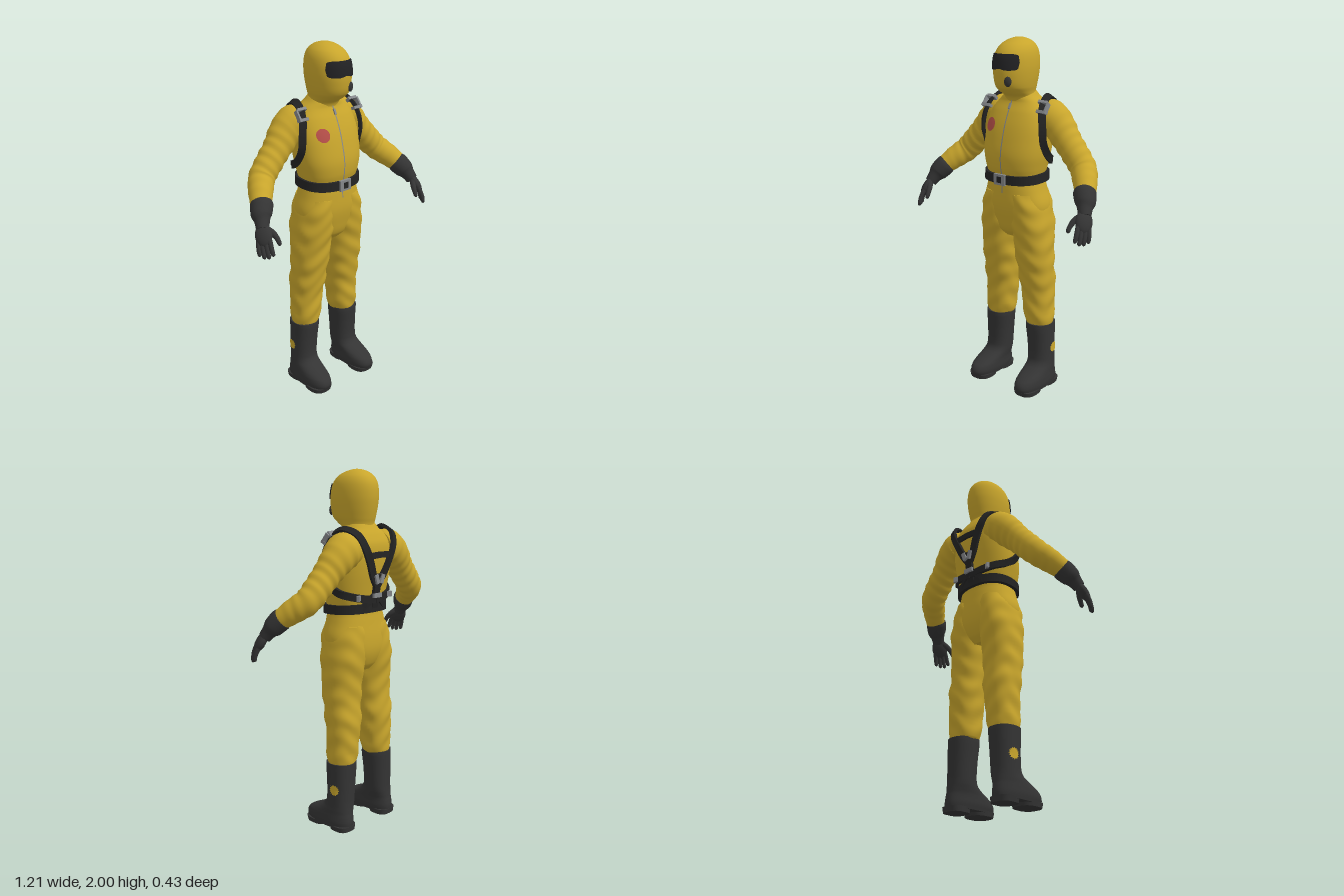
import * as THREE from 'three';
import { toCreasedNormals } from 'three/addons/utils/BufferGeometryUtils.js';

const V = (x, y, z) => new THREE.Vector3(x, y, z);
const mat = (name, color, side = THREE.FrontSide) => {
  const m = new THREE.MeshStandardMaterial({ color, side });
  m.name = name;
  return m;
};

// Skin a list of rings (counterclockwise about the direction of travel), with end caps
function skin(rings) {
  const n = rings[0].length, pos = [], idx = [];
  const push = p => pos.push(p.x, p.y, p.z) / 3 - 1;
  rings.forEach(r => r.forEach(push));
  for (let i = 0; i < rings.length - 1; i++) for (let j = 0; j < n; j++) {
    const a = i * n + j, b = i * n + (j + 1) % n;
    idx.push(a, b, a + n, b, b + n, a + n);
  }
  [rings[0], rings[rings.length - 1]].forEach((r, end) => {
    const c = push(r.reduce((s, p) => s.add(p), V(0, 0, 0)).divideScalar(n));
    const s = r.map(push);
    s.forEach((v, j) => end ? idx.push(c, v, s[(j + 1) % n]) : idx.push(c, s[(j + 1) % n], v));
  });
  const g = new THREE.BufferGeometry();
  g.setAttribute('position', new THREE.Float32BufferAttribute(pos, 3));
  g.setIndex(idx);
  g.computeVertexNormals();
  return g;
}

// Upright form from rows [y, xMin, xMax, zBack, zFront], rounded-oval in section
function form(rows, n = 2.2, folds = 0) {
  const at = y => {
    let i = 0;
    while (i < rows.length - 2 && y > rows[i + 1][0]) i++;
    const a = rows[i], b = rows[i + 1], p = rows[i - 1] || a, q = rows[i + 2] || b, h = b[0] - a[0];
    const t = THREE.MathUtils.clamp((y - a[0]) / h, 0, 1), t2 = t * t, t3 = t2 * t;
    const [x0, x1, z0, z1] = [1, 2, 3, 4].map(k => {
      const ma = (b[k] - p[k]) / (b[0] - p[0]) * h, mb = (q[k] - a[k]) / (q[0] - a[0]) * h;
      return (2 * t3 - 3 * t2 + 1) * a[k] + (t3 - 2 * t2 + t) * ma + (3 * t2 - 2 * t3) * b[k] + (t3 - t2) * mb;
    });
    return { cx: (x0 + x1) / 2, rx: (x1 - x0) / 2, cz: (z0 + z1) / 2, rz: (z1 - z0) / 2 };
  };
  const bend = v => Math.sign(v) * Math.abs(v) ** (2 / n);
  const point = (y, t, off = 0) => {
    const r = at(y), f = folds * Math.sin(y * 48 + 2 * Math.sin(t * 2)) * Math.sin(t * 2 + y * 9);
    return V(r.cx + (r.rx + off + f) * bend(Math.sin(t)), y, r.cz + (r.rz + off + f) * bend(Math.cos(t)));
  };
  const rest = (d, r) => Math.max(0, 1 - Math.abs(d / r) ** n) ** (1 / n);
  return {
    point,
    frontZ: (x, y) => { const r = at(y); return r.cz + r.rz * rest(x - r.cx, r.rx); },
    sideX: (y, z) => { const r = at(y); return r.cx + r.rx * rest(z - r.cz, r.rz); },
    snap(x, y, z, off) {
      const r = at(y), dx = x - r.cx, dz = z - r.cz, d = Math.hypot(dx, dz);
      const f = 1 / (Math.abs(dx / r.rx) ** n + Math.abs(dz / r.rz) ** n) ** (1 / n) + off / d;
      return V(r.cx + dx * f, y, r.cz + dz * f);
    },
    geometry(seg = 48, sub = 6) {
      const ys = rows.slice(1).flatMap((r, i) => Array.from({ length: sub }, (_, k) => rows[i][0] + (r[0] - rows[i][0]) * k / sub));
      ys.push(rows[rows.length - 1][0]);
      return skin(ys.map(y => Array.from({ length: seg }, (_, j) => point(y, j / seg * Math.PI * 2))));
    },
  };
}

// Tapering round limb through points [x, y, z, radius]
function limb(pts, steps = 40, seg = 20, folds = 0) {
  const curve = new THREE.CatmullRomCurve3(pts.map(p => V(p[0], p[1], p[2])));
  const radii = new THREE.CatmullRomCurve3(pts.map((p, i) => V(p[3], i, 0)), false, 'catmullrom');
  const frames = curve.computeFrenetFrames(steps);
  return skin(Array.from({ length: steps + 1 }, (_, i) => {
    const t = curve.getUtoTmapping(i / steps), c = curve.getPoint(t), r = radii.getPoint(t).x;
    return Array.from({ length: seg }, (_, j) => {
      const a = j / seg * Math.PI * 2, k = r * (1 + folds * Math.sin(i * 1.1 + Math.sin(a) * 2) * Math.sin(Math.PI * i / steps));
      return c.clone().addScaledVector(frames.normals[i], Math.cos(a) * k).addScaledVector(frames.binormals[i], Math.sin(a) * k);
    });
  }));
}

// Flat webbing strap lying along points, facing away from the body
function strap(pts, width, thick, steps = 60) {
  const curve = new THREE.CatmullRomCurve3(pts);
  return toCreasedNormals(skin(Array.from({ length: steps + 1 }, (_, i) => {
    const p = curve.getPointAt(i / steps), T = curve.getTangentAt(i / steps);
    const N = V(p.x * 0.4, p.y - Math.min(p.y, 1.57), p.z + 0.1);
    N.addScaledVector(T, -N.dot(T)).normalize();
    const B = T.clone().cross(N);
    return [[1, 1], [-1, 1], [-1, -1], [1, -1]].map(([a, b]) =>
      p.clone().addScaledVector(N, a * thick / 2).addScaledVector(B, b * width / 2));
  })), 0.6);
}

function mirrored(g) {
  const m = g.clone();
  const idx = g.index ? Array.from(g.index.array) : [...Array(g.attributes.position.count).keys()];
  m.applyMatrix4(new THREE.Matrix4().makeScale(-1, 1, 1));
  m.setIndex(idx.reverse());
  return m;
}

// Drape a flat geometry with a rule for each vertex
function drape(g, rule) {
  const p = g.attributes.position;
  for (let i = 0; i < p.count; i++) p.setXYZ(i, ...rule(p.getX(i), p.getY(i), i).toArray());
  g.computeVertexNormals();
  return g;
}

export function createModel() {
  const model = new THREE.Group();
  const yellow = mat('suitYellow', 0xc9a62c), rubber = mat('blackRubber', 0x343434);
  const webbing = mat('darkWebbing', 0x242424), metal = mat('greyMetal', 0x85888b);
  const red = mat('patchRed', 0xb8504a, THREE.DoubleSide), lens = mat('visorBlack', 0x222224, THREE.DoubleSide);
  const add = (name, g, m) => {
    const mesh = new THREE.Mesh(g, m);
    mesh.name = name;
    model.add(mesh);
  };
  const pair = (name, g, m) => { add(name + 'Left', g, m); add(name + 'Right', mirrored(g), m); };
  const box = (w, h, d, x, y, z, rx = 0, ry = 0, rz = 0) =>
    new THREE.BoxGeometry(w, h, d).applyMatrix4(new THREE.Matrix4().makeRotationFromEuler(new THREE.Euler(rx, ry, rz)).setPosition(x, y, z));
  const even = rows => rows.map(([y, rx, z0, z1]) => [y, -rx, rx, z0, z1]);

  // Suit body
  const torso = form(even([
    [0.91, 0.07, -0.13, 0.02], [0.95, 0.13, -0.16, 0.055], [1.02, 0.185, -0.182, 0.075], [1.1, 0.2, -0.183, 0.088],
    [1.19, 0.175, -0.172, 0.086], [1.25, 0.162, -0.166, 0.083], [1.31, 0.175, -0.178, 0.097], [1.38, 0.19, -0.19, 0.1],
    [1.46, 0.196, -0.203, 0.085], [1.54, 0.194, -0.21, 0.062], [1.61, 0.175, -0.207, 0.032], [1.66, 0.135, -0.185, 0.005],
    [1.69, 0.1, -0.165, 0], [1.715, 0.08, -0.15, -0.01]]), 2.4);
  add('suitTorso', torso.geometry(64), yellow);

  // Hood
  const hood = form(even([
    [1.65, 0.1, -0.165, 0], [1.69, 0.086, -0.155, 0.015], [1.715, 0.088, -0.155, 0.055], [1.745, 0.097, -0.163, 0.09],
    [1.8, 0.106, -0.175, 0.104], [1.86, 0.109, -0.182, 0.104], [1.92, 0.102, -0.177, 0.09], [1.96, 0.084, -0.157, 0.058],
    [1.985, 0.055, -0.123, 0.012], [1.997, 0.025, -0.085, -0.03], [2, 0.004, -0.06, -0.052]]), 2.1);
  add('hood', hood.geometry(48), yellow);

  // Visor, notched over the nose, and breathing valve
  add('visor', drape(new THREE.PlaneGeometry(2, 2, 32, 10), (u, v) => {
    const h = 0.042 * Math.max(0, 1 - Math.abs(u) ** 7) ** 0.25;
    const notch = v < 0 ? 0.008 * Math.exp(-u * u * 30) * -v : 0;
    return hood.point(1.88 + v * h + notch, u * 0.93, 0.006);
  }), lens);
  const valve = new THREE.SphereGeometry(1, 24, 14);
  valve.scale(0.02, 0.027, 0.012).rotateY(0.4).translate(0.045, 1.78, hood.frontZ(0.045, 1.78) + 0.002);
  add('breathingValve', valve, rubber);

  // Sleeves
  pair('sleeve', limb([[0.11, 1.58, -0.12, 0.085], [0.165, 1.578, -0.12, 0.1], [0.22, 1.54, -0.122, 0.091],
    [0.29, 1.465, -0.112, 0.077], [0.35, 1.4, -0.105, 0.074], [0.41, 1.335, -0.09, 0.071],
    [0.46, 1.285, -0.035, 0.065], [0.508, 1.23, 0.028, 0.052]], 60, 28, 0.035), yellow);

  // Trouser legs
  const leg = form([
    [0.375, 0.08, 0.214, -0.145, -0.01], [0.4, 0.062, 0.223, -0.157, 0.004], [0.46, 0.054, 0.222, -0.158, 0.01],
    [0.6, 0.035, 0.225, -0.168, 0.018], [0.7, 0.025, 0.226, -0.163, 0.035], [0.8, 0.015, 0.225, -0.158, 0.05],
    [0.95, 0.002, 0.22, -0.176, 0.07], [1.06, -0.005, 0.205, -0.184, 0.085], [1.17, 0, 0.172, -0.168, 0.08]], 2.3, 0.005);
  pair('trouserLeg', leg.geometry(40, 9), yellow);

  // Boots with separate sole and heel
  const boot = form([
    [0.02, 0.098, 0.238, -0.166, 0.148], [0.05, 0.092, 0.242, -0.168, 0.157], [0.08, 0.092, 0.24, -0.164, 0.142],
    [0.1, 0.092, 0.237, -0.16, 0.108], [0.12, 0.09, 0.234, -0.158, 0.062], [0.145, 0.087, 0.23, -0.156, 0.018],
    [0.18, 0.084, 0.228, -0.155, 0], [0.28, 0.077, 0.227, -0.157, 0], [0.37, 0.069, 0.227, -0.16, 0.008],
    [0.395, 0.069, 0.227, -0.16, 0.008]], 2.3);
  pair('boot', boot.geometry(40), rubber);
  pair('bootSole', form([[0.003, 0.103, 0.235, -0.005, 0.142], [0.03, 0.099, 0.239, -0.012, 0.149]], 2.6).geometry(32, 1), rubber);
  pair('bootHeel', form([[0, 0.108, 0.228, -0.165, -0.04], [0.03, 0.104, 0.234, -0.168, -0.036]], 3).geometry(32, 1), rubber);
  pair('bootBadge', drape(new THREE.CircleGeometry(1, 32), (u, v, i) => {
    const r = i % 2 ? 0.033 : 0.026, y = 0.245 + v * r, z = -0.095 - u * r;
    return V(boot.sideX(y, z) + 0.004, y, z);
  }), yellow);

  // Gloves: cuff, palm, four fingers, thumb
  const d = V(0.27, -0.84, 0.47).normalize(), s = V(-0.5, 0, 0.85);
  s.addScaledVector(d, -s.dot(d)).normalize();
  const inward = s.clone().cross(d).normalize();
  if (inward.x > 0) inward.negate();
  const center = V(0.557, 1.12, 0.11);
  const hand = (a, b, c) => center.clone().addScaledVector(d, a).addScaledVector(s, b).addScaledVector(inward, c);
  pair('gloveCuff', limb([[0.488, 1.25, 0.008, 0.056], [0.497, 1.238, 0.02, 0.06], [0.523, 1.2, 0.05, 0.054],
    [0.533, 1.178, 0.068, 0.041], [0.547, 1.145, 0.09, 0.034]], 24, 24), rubber);
  const palm = new THREE.SphereGeometry(1, 24, 16).scale(0.062, 0.046, 0.026);
  palm.applyMatrix4(new THREE.Matrix4().makeBasis(d, s, d.clone().cross(s)).setPosition(center));
  pair('glovePalm', palm, rubber);
  const digit = (name, stations) => pair(name, limb(stations.map(([a, b, c, r]) => [...hand(a, b, c).toArray(), r]), 18, 12), rubber);
  [-1.5, -0.5, 0.5, 1.5].forEach((k, i) => {
    const len = [0.058, 0.074, 0.078, 0.068][i], b = k * 0.021;
    digit('gloveFinger' + (i + 1), [[0.02, b * 0.9, 0, 0.013], [0.045, b, 0, 0.013], [0.045 + len * 0.55, b * 1.1, 0.006, 0.012],
      [0.045 + len * 0.92, b * 1.15, 0.016, 0.01], [0.045 + len, b * 1.15, 0.019, 0.003]]);
  });
  digit('gloveThumb', [[-0.03, 0.02, 0.005, 0.016], [-0.005, 0.045, 0.02, 0.016], [0.03, 0.063, 0.032, 0.013],
    [0.052, 0.068, 0.038, 0.011], [0.06, 0.069, 0.04, 0.003]]);

  // Belt and buckle
  const beltPath = Array.from({ length: 33 }, (_, i) => {
    const t = i / 32 * Math.PI * 2;
    return torso.point(1.258 - 0.008 * Math.cos(t), t, 0.01);
  });
  add('belt', strap(beltPath, 0.05, 0.022, 96), webbing);
  add('beltBuckle', box(0.075, 0.06, 0.016, 0, 1.25, 0.106), metal);
  add('beltBuckleSlot', box(0.03, 0.034, 0.006, 0, 1.25, 0.113), webbing);

  // Harness: shoulder straps, side straps, back yoke
  const wrap = (x, y, z) => torso.snap(x, y, z, 0.012);
  pair('shoulderStrap', strap([wrap(0, 1.31, -0.2), wrap(0.08, 1.32, -0.19), wrap(0.15, 1.335, -0.155), wrap(0.19, 1.355, -0.1),
    wrap(0.2, 1.395, -0.045), V(0.207, 1.46, -0.006), V(0.205, 1.54, 0), V(0.19, 1.615, -0.015), V(0.175, 1.665, -0.05),
    V(0.16, 1.69, -0.105), V(0.138, 1.665, -0.185), V(0.112, 1.6, -0.22), V(0.075, 1.52, -0.222),
    wrap(0.035, 1.44, -0.2), wrap(0.005, 1.39, -0.2)], 0.04, 0.018, 120), webbing);
  add('backCrossbar', strap([V(-0.09, 1.55, -0.224), V(0, 1.555, -0.226), V(0.09, 1.55, -0.224)], 0.032, 0.014, 16), webbing);
  add('backCentreStrap', strap([wrap(0, 1.45, -0.2), wrap(0, 1.38, -0.2), wrap(0, 1.26, -0.2)], 0.045, 0.018, 16), webbing);
  pair('backDiagonalStrap', strap([wrap(0, 1.34, -0.2), wrap(0.05, 1.3, -0.19), wrap(0.09, 1.265, -0.18)], 0.034, 0.018, 16), webbing);

  // Harness hardware
  pair('strapBuckleUpper', box(0.058, 0.016, 0.03, 0.178, 1.665, -0.044, -0.85), metal);
  pair('strapBuckleLower', box(0.058, 0.016, 0.028, 0.19, 1.622, -0.012, -0.45), metal);
  pair('strapBuckleSide', box(0.01, 0.062, 0.026, 0.212, 1.642, -0.026, -0.65), metal);
  pair('sideStrapBuckle', box(0.042, 0.03, 0.016, ...wrap(0.115, 1.328, -0.175).add(V(0.004, 0, -0.008)).toArray(), 0, 0.5), metal);
  pair('backBuckle', box(0.024, 0.05, 0.014, 0.02, 1.425, -0.222, 0, 0, -0.35), metal);
  add('backPlate', box(0.06, 0.024, 0.014, 0, 1.335, -0.206), metal);

  // Zip and chest patch
  add('zip', drape(new THREE.PlaneGeometry(0.007, 0.51, 1, 40), (x, y) => V(x, 1.425 + y, torso.frontZ(x, 1.425 + y) + 0.002)), metal);
  add('zipPull', box(0.012, 0.032, 0.008, 0, 1.64, torso.frontZ(0, 1.64) + 0.006, -0.5), metal);
  const disc = new THREE.RingGeometry(0.0005, 0.036, 32, 5);
  add('chestPatch', drape(disc, (x, y) => V(x - 0.107, y + 1.535, torso.frontZ(x - 0.107, y + 1.535) + 0.005)), red);

  return model;
}
